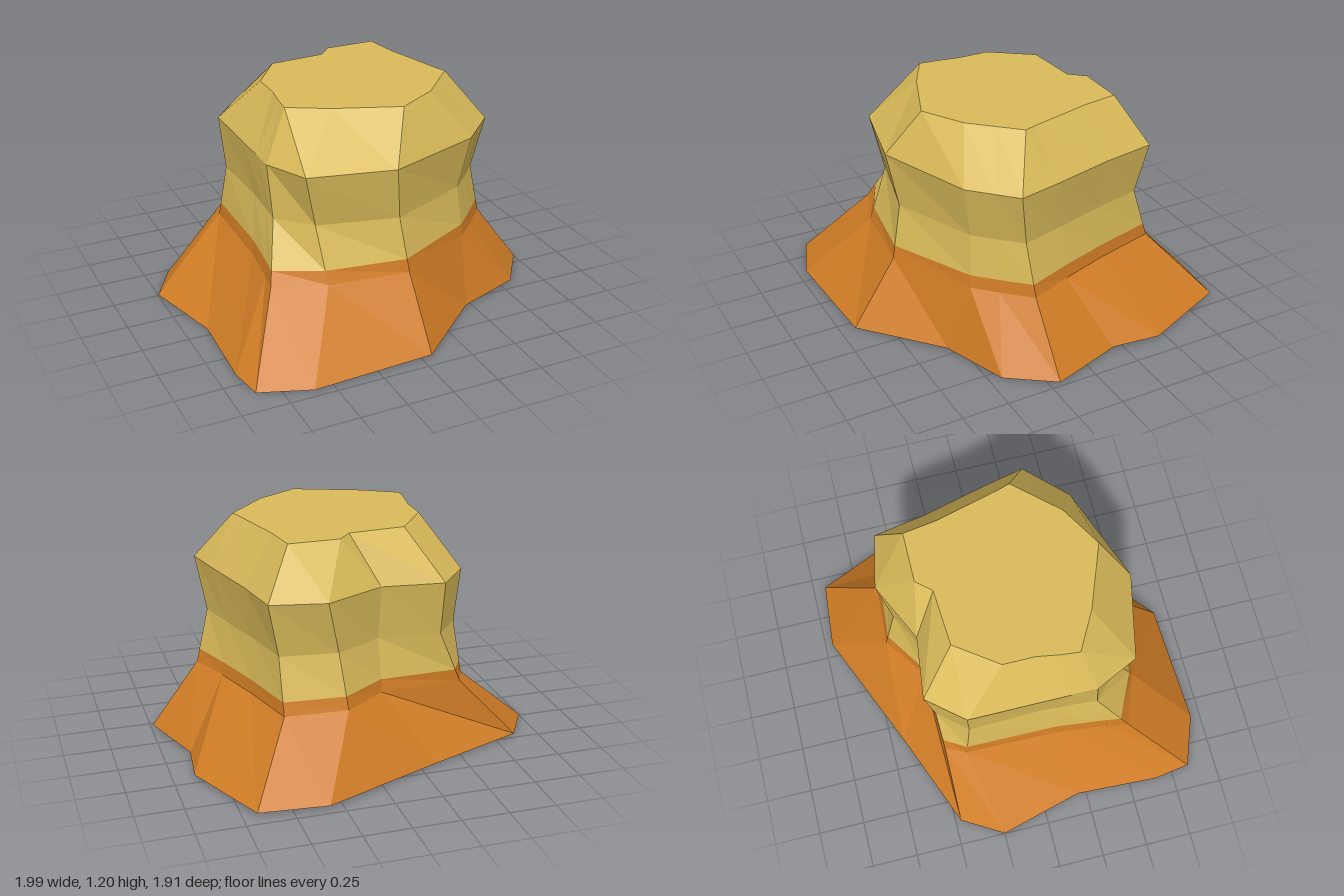
import * as THREE from 'three';

// Cross-sections as [x, z] corners, matched column by column
const foot = [[0.32, -0.96], [0.68, -0.93], [0.89, -0.45], [0.86, -0.19], [0.99, 0.20], [0.82, 0.44], [0.46, 0.57], [0.06, 0.92],
  [-0.60, 0.95], [-0.87, 0.85], [-0.90, 0.66], [-0.88, 0.20], [-1.0, -0.25], [-0.87, -0.47], [-0.34, -0.68]];
const skirt = [[0.13, -0.65], [0.46, -0.63], [0.55, -0.30], [0.64, -0.03], [0.73, 0.20], [0.60, 0.34], [0.49, 0.45], [0.05, 0.68],
  [-0.38, 0.63], [-0.65, 0.53], [-0.63, 0.41], [-0.60, 0.16], [-0.59, -0.36], [-0.54, -0.47], [-0.10, -0.49]];
const waist = [[0.16, -0.58], [0.46, -0.54], [0.52, -0.28], [0.60, 0.0], [0.66, 0.22], [0.56, 0.33], [0.46, 0.43], [0.02, 0.62],
  [-0.40, 0.52], [-0.56, 0.36], [-0.55, 0.24], [-0.54, 0.06], [-0.55, -0.33], [-0.42, -0.48], [-0.09, -0.45]];
const shoulder = [[0.23, -0.64], [0.52, -0.58], [0.57, -0.30], [0.66, 0.05], [0.71, 0.27], [0.61, 0.37], [0.50, 0.48], [-0.02, 0.67],
  [-0.47, 0.57], [-0.58, 0.34], [-0.58, 0.20], [-0.58, 0.0], [-0.58, -0.34], [-0.42, -0.53], [-0.09, -0.49]];
const crown = [[0.11, -0.44], [0.38, -0.44], [0.41, -0.25], [0.50, 0.09], [0.52, 0.15], [0.42, 0.26], [0.31, 0.38], [0.09, 0.51],
  [-0.25, 0.38], [-0.45, 0.27], [-0.44, 0.17], [-0.42, 0.05], [-0.42, -0.12], [-0.26, -0.34], [0.04, -0.36]];

const ring = (pts, y) => pts.map(([x, z]) => new THREE.Vector3(x, y, z));

// Skins a stack of rings, lowest first, and caps one end
function loft(rings, capTop) {
  const tris = [];
  for (let r = 0; r < rings.length - 1; r++) {
    const lo = rings[r], hi = rings[r + 1];
    lo.forEach((a, i) => {
      const j = (i + 1) % lo.length;
      tris.push(a, hi[i], hi[j], a, hi[j], lo[j]);
    });
  }
  const end = capTop ? rings[rings.length - 1] : rings[0];
  const flat = end.map(p => new THREE.Vector2(p.x, -p.z));
  for (const [i, j, k] of THREE.ShapeUtils.triangulateShape(flat, [])) {
    const facesUp = THREE.ShapeUtils.area([flat[i], flat[j], flat[k]]) > 0;
    if (facesUp === capTop) tris.push(end[i], end[j], end[k]);
    else tris.push(end[i], end[k], end[j]);
  }
  const geometry = new THREE.BufferGeometry().setFromPoints(tris);
  geometry.computeVertexNormals();
  return geometry;
}

export function createModel() {
  const group = new THREE.Group();
  group.name = 'rockFormation';
  const sand = new THREE.MeshStandardMaterial({ name: 'sand', color: 0xd9ba59, flatShading: true });
  const clay = new THREE.MeshStandardMaterial({ name: 'clay', color: 0xcf7c25, flatShading: true });

  // The foot tilts slightly
  const bottom = ring(foot, 0);
  bottom.forEach(p => { p.y = 0.012 + 0.006 * p.x - 0.006 * p.z; });
  const low = ring(skirt, 0.367), mid = ring(waist, 0.655);
  // Colour change partway up the lower wall
  const seam = low.map((p, i) => p.clone().lerp(mid[i], 0.24));

  const base = new THREE.Mesh(loft([bottom, low, seam], false), clay);
  base.name = 'flaredBase';
  const cap = new THREE.Mesh(loft([seam, mid, ring(shoulder, 0.947), ring(crown, 1.203)], true), sand);
  cap.name = 'upperRock';
  group.add(base, cap);
  return group;
}
